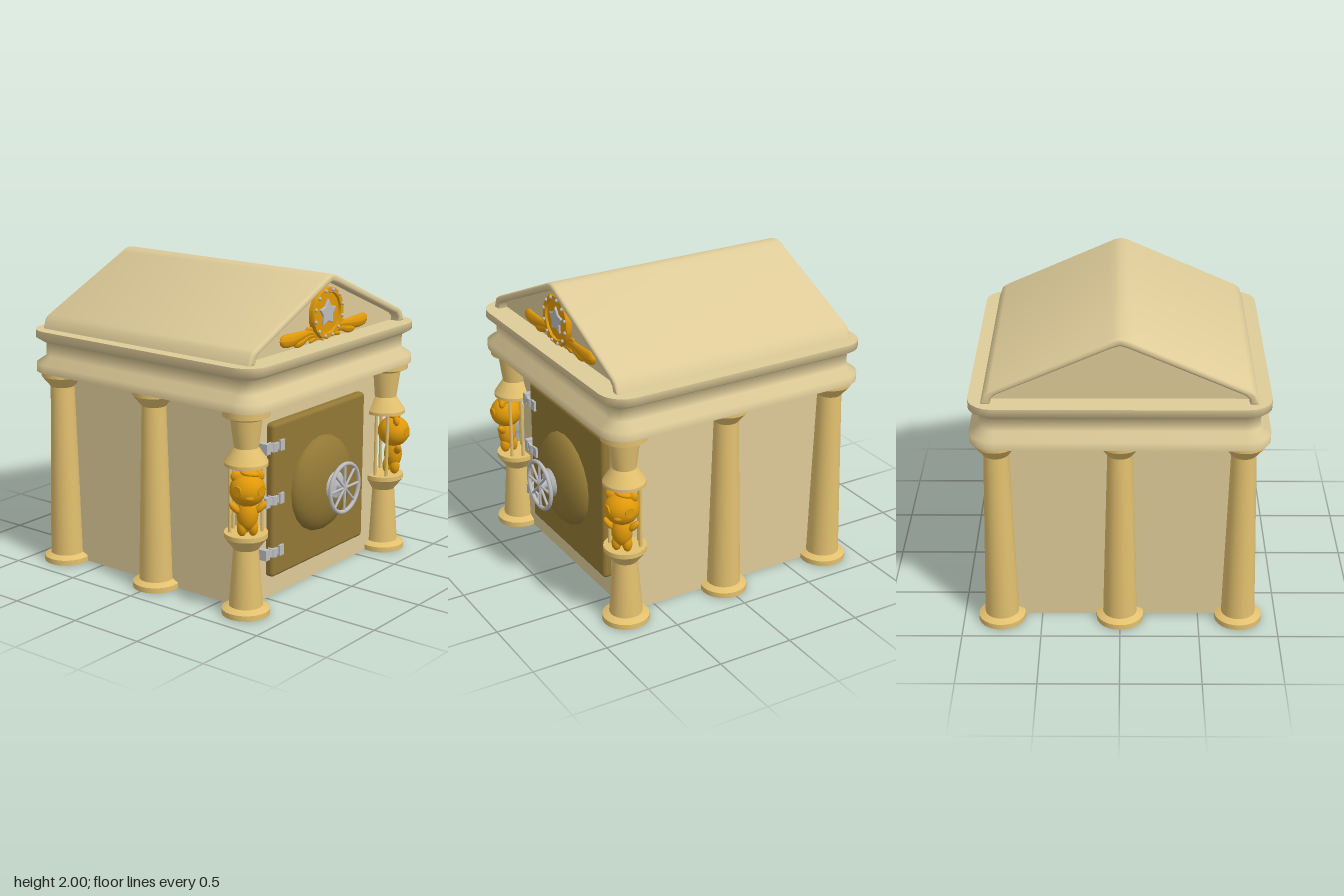
import * as THREE from 'three';
import { toCreasedNormals } from 'three/addons/utils/BufferGeometryUtils.js';
import { RoundedBoxGeometry } from 'three/addons/geometries/RoundedBoxGeometry.js';

const V = (x, y, z = 0) => new THREE.Vector3(x, y, z);
const V2 = (a) => a.map(([x, y]) => new THREE.Vector2(x, y));

function material(name, color) {
  const m = new THREE.MeshStandardMaterial({ color });
  m.name = name;
  return m;
}

function add(parent, name, geometry, mat, x = 0, y = 0, z = 0) {
  const mesh = new THREE.Mesh(geometry, mat);
  mesh.name = name;
  mesh.position.set(x, y, z);
  parent.add(mesh);
  return mesh;
}

// Turned part: profile of [radius, height] with crisp edges
const turned = (profile, sides = 24) =>
  toCreasedNormals(new THREE.LatheGeometry(V2(profile), sides), 0.5);

// Ring of points around a rounded rectangle
function roundedRing(hx, hz, r, seg = 5) {
  const pts = [];
  [[1, 1], [-1, 1], [-1, -1], [1, -1]].forEach(([sx, sz], q) => {
    for (let i = 0; i <= seg; i++) {
      const a = (q + i / seg) * Math.PI / 2;
      pts.push([sx * (hx - r) + r * Math.cos(a), sz * (hz - r) + r * Math.sin(a)]);
    }
  });
  return pts;
}

// Stacked rounded rectangles [inset, y], closed at both ends
function moulding(levels, hx, hz, r) {
  const pos = [], idx = [];
  const rings = levels.map(([d, y]) => ({ y, pts: roundedRing(hx - d, hz - d, r - d) }));
  rings.forEach(({ y, pts }) => pts.forEach(([x, z]) => pos.push(x, y, z)));
  const n = rings[0].pts.length, top = (rings.length - 1) * n;
  for (let k = 0; k < rings.length - 1; k++) {
    for (let i = 0; i < n; i++) {
      const a = k * n + i, b = k * n + (i + 1) % n;
      idx.push(a, a + n, b, b, a + n, b + n);
    }
  }
  for (let i = 1; i < n - 1; i++) {
    idx.push(0, i, i + 1, top, top + i + 1, top + i);
  }
  const g = new THREE.BufferGeometry();
  g.setAttribute('position', new THREE.Float32BufferAttribute(pos, 3));
  g.setIndex(idx);
  return toCreasedNormals(g, 1.2);
}

// Teardrop scroll: a tube that swells towards its far end
function scroll(points, radius, flat = 0.6) {
  const curve = new THREE.CatmullRomCurve3(points), n = 32;
  const g = new THREE.TubeGeometry(curve, n, 1, 12);
  const p = g.attributes.position, v = V(0, 0);
  for (let i = 0; i < p.count; i++) {
    const t = Math.floor(i / 13) / n, c = curve.getPointAt(t);
    const r = radius * (0.12 + 0.88 * Math.pow(t, 1.2)) * Math.sqrt(Math.max(0, 1 - Math.pow(t, 9)));
    v.fromBufferAttribute(p, i).sub(c).multiplyScalar(r);
    v.z *= flat;
    v.add(c);
    p.setXYZ(i, v.x, v.y, v.z);
  }
  g.computeVertexNormals();
  return g;
}

// Carved animal with raised paws, facing +z, feet at y = 0
function carvedFigure(mat) {
  const g = new THREE.Group();
  g.name = 'carvedFigure';
  const blob = (name, x, y, z, sx, sy, sz, rz = 0) => {
    const m = add(g, name, new THREE.SphereGeometry(1, 20, 14), mat, x, y, z);
    m.scale.set(sx, sy, sz);
    m.rotation.z = rz;
    return m;
  };
  blob('head', 0, 0.287, 0, 0.11, 0.102, 0.107);
  blob('body', 0, 0.13, 0, 0.066, 0.1, 0.06);
  blob('muzzle', 0, 0.26, 0.088, 0.03, 0.02, 0.022);
  blob('tail', 0, 0.05, -0.045, 0.022, 0.05, 0.025);
  blob('headTuft', 0.015, 0.388, 0, 0.06, 0.022, 0.045, -0.15);
  for (const s of [-1, 1]) {
    blob('ear', s * 0.068, 0.372, 0, 0.034, 0.034, 0.022);
    blob('arm', s * 0.078, 0.178, 0.012, 0.022, 0.045, 0.025, -s * 0.75);
    blob('leg', s * 0.034, 0.048, 0.005, 0.031, 0.052, 0.034);
    const patch = add(g, 'eyePatch', new THREE.CylinderGeometry(0.032, 0.034, 0.008, 20), mat,
      s * 0.0725, 0.3, 0.0725);
    patch.rotation.set(Math.PI / 2, 0, -s * Math.PI / 4);
  }
  return g;
}

export function createModel() {
  const stone = material('pale stone', 0xdecb98);
  const pillar = material('warm stone', 0xe2c06e);
  const bronze = material('dark bronze', 0x927835);
  const gold = material('gold', 0xe09908);
  const silver = material('silver', 0xbcbcbe);
  const model = new THREE.Group();
  model.name = 'templeVault';
  const CZ = -0.025;

  // Walls and stepped band above them
  add(model, 'walls', new THREE.BoxGeometry(1.42, 1.31, 1.43), stone, 0, 0.655, CZ);
  add(model, 'entablature', moulding([[0, 1.3], [0, 1.355], [0.065, 1.4], [0.065, 1.485],
    [0.04, 1.5], [0, 1.525], [0, 1.575]], 0.917, 0.92, 0.16), stone, 0, 0, CZ);

  // Gable roof: raised shell with recessed end panels
  const outer = [[-0.835, 1.57], [-0.81, 1.64], [-0.78, 1.662], [-0.08, 1.974], [-0.04, 1.992], [0, 2]];
  const inner = [[-0.775, 1.57], [-0.77, 1.605], [-0.74, 1.632], [-0.05, 1.935], [0, 1.95]];
  const mirrored = (half) => half.concat(half.slice(0, -1).reverse().map(([x, y]) => [-x, y]));
  const shellShape = new THREE.Shape(V2([...mirrored(outer), ...mirrored(inner).reverse()]));
  const shell = new THREE.ExtrudeGeometry(shellShape, {
    depth: 1.645, bevelThickness: 0.02, bevelSize: 0.016, bevelOffset: -0.016, bevelSegments: 3,
  });
  add(model, 'roof', toCreasedNormals(shell, 0.9), stone, 0, 0, -0.85);
  const panel = new THREE.ExtrudeGeometry(new THREE.Shape(V2(mirrored(
    inner.map(([x, y]) => [x * 1.01, y + 0.01])))), { depth: 1.55, bevelEnabled: false });
  add(model, 'gablePanels', panel, stone, 0, 0, -0.8);

  // Plain columns along the sides and back
  const columnShape = turned([[0, 0], [0.15, 0], [0.15, 0.035], [0.115, 0.052], [0.108, 0.055],
    [0.078, 1.195], [0.135, 1.265], [0.135, 1.3], [0, 1.3]]);
  for (const [x, z] of [[0.757, 0.005], [-0.757, 0.005], [0.757, -0.78], [-0.757, -0.78], [0, -0.78]]) {
    add(model, 'column', columnShape, pillar, x, 0, z);
  }

  // Front columns: two halves, rods behind, and a figure on the outer corner
  const lower = turned([[0, 0], [0.15, 0], [0.15, 0.035], [0.115, 0.052], [0.105, 0.055],
    [0.078, 0.42], [0.135, 0.495], [0.135, 0.525], [0, 0.525]]);
  const upper = turned([[0, 0.95], [0.135, 0.95], [0.135, 0.97], [0.075, 1.06], [0.098, 1.235],
    [0.145, 1.255], [0.145, 1.3], [0, 1.3]]);
  const rod = new THREE.CylinderGeometry(0.011, 0.011, 0.44, 10);
  for (const s of [-1, 1]) {
    const g = new THREE.Group();
    g.name = 'frontColumn';
    g.position.set(s * 0.757, 0, 0.73);
    add(g, 'lowerHalf', lower, pillar);
    add(g, 'upperHalf', upper, pillar);
    for (let i = 3; i <= 7; i++) {
      const a = i * Math.PI / 4;
      add(g, 'cageRod', rod, pillar, s * 0.098 * Math.cos(a), 0.738, 0.098 * Math.sin(a));
    }
    const figure = carvedFigure(gold);
    figure.position.set(s * 0.046, 0.525, 0.046);
    figure.rotation.y = s * Math.PI / 4;
    g.add(figure);
    model.add(g);
  }

  // Vault door with domed boss
  add(model, 'door', new RoundedBoxGeometry(1, 0.995, 0.1, 3, 0.025), bronze, 0, 0.642, 0.692);
  const dome = add(model, 'doorDome',
    new THREE.SphereGeometry(0.315, 20, 10, 0, Math.PI * 2, 0, Math.PI / 2), bronze, 0, 0.647, 0.735);
  dome.rotation.x = Math.PI / 2;
  dome.scale.y = 0.4;

  // Hand wheel
  const wheel = new THREE.Group();
  wheel.name = 'handWheel';
  wheel.position.set(0, 0.647, 0);
  add(wheel, 'rim', new THREE.TorusGeometry(0.157, 0.0135, 10, 36), silver, 0, 0, 0.93);
  const hub = add(wheel, 'hub', turned([[0.105, 0.83], [0.1, 0.85], [0.075, 0.878], [0.032, 0.89],
    [0.03, 0.932], [0, 0.937]]), silver);
  hub.rotation.x = Math.PI / 2;
  for (let i = 0; i < 4; i++) {
    const spoke = add(wheel, 'spoke', new THREE.CylinderGeometry(0.009, 0.009, 0.31, 8), silver, 0, 0, 0.93);
    spoke.rotation.z = i * Math.PI / 4;
  }
  model.add(wheel);

  // Hinges
  for (const y of [0.997, 0.655, 0.315]) {
    add(model, 'hingeWallPlate', new THREE.BoxGeometry(0.04, 0.068, 0.07), silver, -0.56, y, 0.715);
    add(model, 'hingeDoorPlate', new THREE.BoxGeometry(0.045, 0.068, 0.03), silver, -0.425, y, 0.742);
    add(model, 'hingeArm', new THREE.BoxGeometry(0.11, 0.045, 0.02), silver, -0.495, y, 0.738);
    add(model, 'hingeKnuckle', new THREE.CylinderGeometry(0.03, 0.03, 0.055, 14), silver, -0.49, y, 0.732);
  }

  // Medallion with star and studs
  const badge = new THREE.Group();
  badge.name = 'medallion';
  badge.position.set(0, 1.755, 0.753);
  const coin = add(badge, 'coin', turned([[0.165, -0.01], [0.165, 0.025], [0.16, 0.035], [0.132, 0.035],
    [0.128, 0.02], [0, 0.02]], 14), gold);
  coin.rotation.x = Math.PI / 2;
  const starPoints = [];
  for (let i = 0; i < 10; i++) {
    const a = Math.PI / 2 + i * Math.PI / 5, r = i % 2 ? 0.046 : 0.08;
    starPoints.push([r * Math.cos(a), r * Math.sin(a)]);
  }
  add(badge, 'star', new THREE.ExtrudeGeometry(new THREE.Shape(V2(starPoints)), {
    depth: 0.012, bevelThickness: 0.006, bevelSize: 0.006, bevelSegments: 2,
  }), silver, 0, 0, 0.015);
  for (let i = 0; i < 12; i++) {
    const a = (i + 0.5) * Math.PI / 6;
    add(badge, 'stud', new THREE.SphereGeometry(0.012, 10, 8), silver,
      0.146 * Math.cos(a), 0.146 * Math.sin(a), 0.036);
  }
  model.add(badge);

  // Leafy scrolls either side of the medallion
  for (const s of [-1, 1]) {
    const leaf = (pts, r) => add(model, 'scrollLeaf',
      scroll(pts.map(([x, y]) => V(s * x, y)), r), gold, 0, 0, 0.757);
    leaf([[0.02, 1.585], [0.15, 1.65], [0.27, 1.645], [0.37, 1.64], [0.465, 1.65]], 0.058);
    leaf([[0.02, 1.583], [0.11, 1.625], [0.18, 1.63], [0.25, 1.612], [0.325, 1.605]], 0.04);
    leaf([[0.01, 1.58], [0.06, 1.6], [0.11, 1.605], [0.165, 1.595]], 0.022);
    leaf([[0.03, 1.59], [0.1, 1.64], [0.15, 1.67], [0.2, 1.68]], 0.022);
  }
  return model;
}
